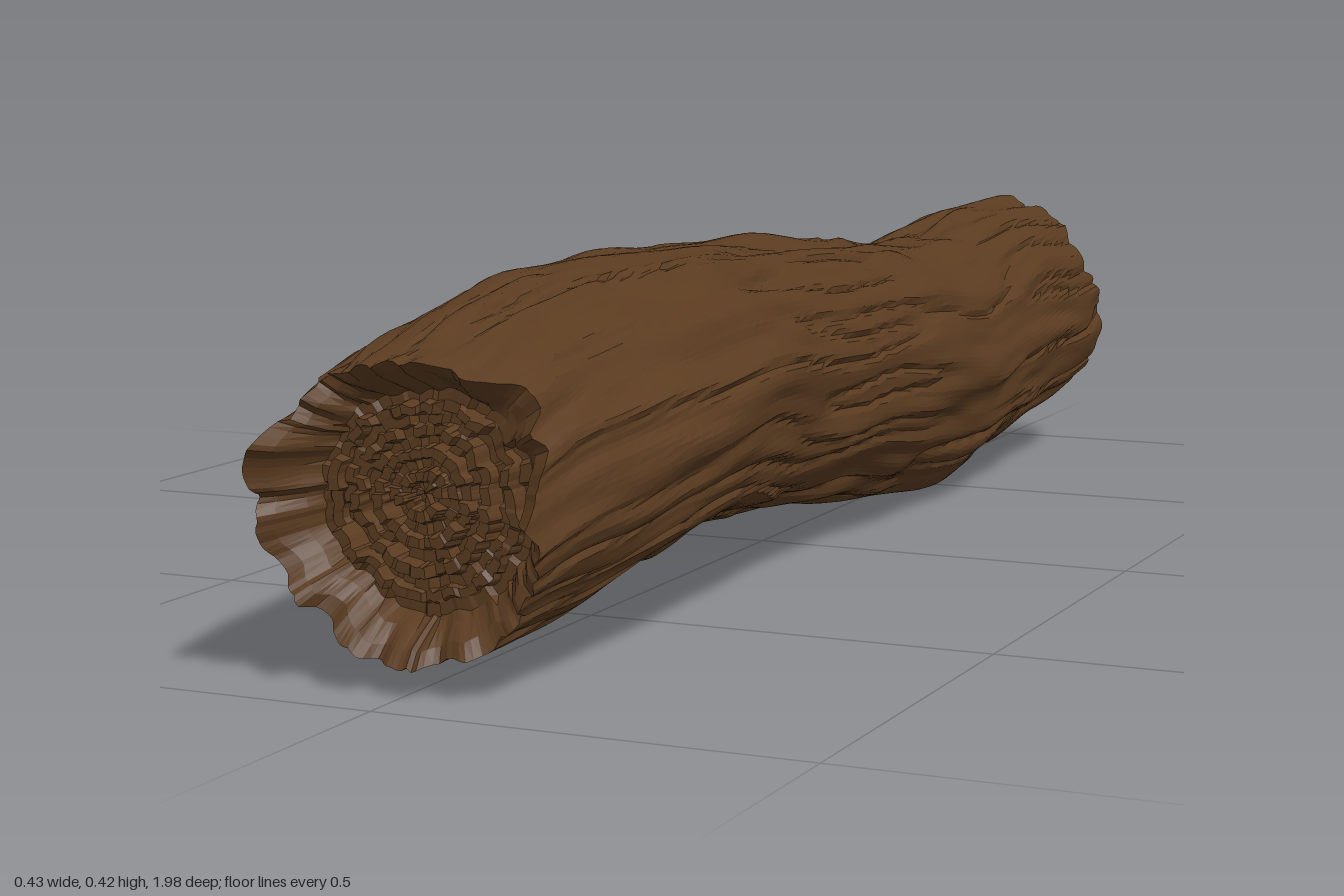
import * as THREE from 'three';

const SIDES = 176, ROWS = 72, TAU = Math.PI * 2;
const clamp = THREE.MathUtils.clamp, lerp = THREE.MathUtils.lerp;

// seeded value noise, periodic in u
function hash(a, b, seed) {
  let h = Math.imul(a + 101, 374761393) ^ Math.imul(b + 57, 668265263) ^ Math.imul(seed + 11, 2246822519);
  h = Math.imul(h ^ (h >>> 13), 1274126177);
  return ((h ^ (h >>> 16)) >>> 0) / 4294967296;
}
function noise(u, v, period, seed) {
  const i = Math.floor(u), j = Math.floor(v);
  const s = (t) => t * t * (3 - 2 * t);
  const fu = s(u - i), fv = s(v - j);
  const w = (n) => ((n % period) + period) % period;
  return lerp(
    lerp(hash(w(i), j, seed), hash(w(i + 1), j, seed), fu),
    lerp(hash(w(i), j + 1, seed), hash(w(i + 1), j + 1, seed), fu), fv);
}

// outline along the log: z, left edge, right edge, bottom, top
const outline = [
  [-1.0, -0.165, 0.17, 0.06, 0.4], [-0.8, -0.18, 0.178, 0.04, 0.4],
  [-0.6, -0.187, 0.182, 0.015, 0.382], [-0.45, -0.182, 0.186, 0.0, 0.373],
  [-0.2, -0.177, 0.196, 0.028, 0.4], [0.0, -0.2, 0.187, 0.053, 0.42],
  [0.2, -0.217, 0.188, 0.062, 0.43], [0.4, -0.215, 0.21, 0.077, 0.44],
  [0.6, -0.217, 0.213, 0.068, 0.43], [0.8, -0.196, 0.196, 0.042, 0.412],
  [1.0, -0.17, 0.175, 0.033, 0.375],
];
function sectionAt(z) {
  let k = 0;
  while (k < outline.length - 2 && z > outline[k + 1][0]) k++;
  const a = outline[k], b = outline[k + 1];
  let t = clamp((z - a[0]) / (b[0] - a[0]), 0, 1);
  t = lerp(t, t * t * (3 - 2 * t), 0.6);
  const [, l, r, lo, hi] = a.map((n, i) => lerp(n, b[i], t));
  return { x: (l + r) / 2, y: (lo + hi) / 2, rx: (r - l) / 2, ry: (hi - lo) / 2 };
}

// broken rims: reach in z around the log, starting at +x and turning to +y
const frontRim = [0.99, 0.91, 0.9, 0.97, 0.98, 0.96, 0.91, 0.97, 0.95, 0.94, 0.93, 0.93, 0.93, 0.93, 0.92, 0.93];
const backRim = [0.98, 0.93, 0.95, 0.99, 0.98, 0.95, 0.95, 0.97, 0.97, 0.95, 0.95, 0.94, 0.95, 0.94, 0.95, 0.96];
function rimAt(rim, j) {
  const u = (j / SIDES) * rim.length, i = Math.floor(u);
  const base = lerp(rim[i % 16], rim[(i + 1) % 16], u - i);
  return Math.min(1, base + (noise((j / SIDES) * 60, 0, 60, rim === frontRim ? 5 : 6) - 0.5) * 0.03);
}

// bark relief: long wandering ridges, flakes and narrow cracks
function relief(a, z) {
  const u = a / TAU + 0.012 * Math.sin(z * 5 + 1) + 0.006 * Math.sin(z * 13 + a * 2);
  const ridge = noise(u * 26, z * 3.2, 26, 1);
  const flake = noise(u * 52, z * 8, 52, 2);
  const lump = noise(u * 9, z * 2.5, 9, 3);
  const crack = Math.max(0, 1 - Math.abs(noise(u * 34, z * 2.6, 34, 4) - 0.5) * 7);
  return 1.045 - 0.085 * (1 - ridge) - 0.05 * (1 - flake) - 0.05 * (1 - lump) - 0.04 * crack;
}

function barkPoint(j, t) {
  const a = (j / SIDES) * TAU;
  const z = lerp(-rimAt(backRim, j), rimAt(frontRim, j), t);
  const s = sectionAt(z), r = relief(a, z);
  return new THREE.Vector3(s.x + s.rx * r * Math.cos(a), s.y + s.ry * r * Math.sin(a), z);
}

// faceted skin over rows of closed loops
function skin(rows, name, material) {
  const position = [], index = [];
  rows.forEach((row) => row.forEach((p) => position.push(p.x, p.y, p.z)));
  for (let i = 0; i < rows.length - 1; i++) {
    for (let j = 0; j < SIDES; j++) {
      const k = (j + 1) % SIDES;
      const a = i * SIDES + j, b = i * SIDES + k, c = a + SIDES, d = b + SIDES;
      index.push(a, b, c, b, d, c);
    }
  }
  const indexed = new THREE.BufferGeometry();
  indexed.setAttribute('position', new THREE.Float32BufferAttribute(position, 3));
  indexed.setIndex(index);
  const geometry = indexed.toNonIndexed();
  geometry.computeVertexNormals();
  const mesh = new THREE.Mesh(geometry, material);
  mesh.name = name;
  return mesh;
}

const loop = (fn) => Array.from({ length: SIDES }, (_, j) => fn(j));

// hollowed end with splintered growth rings, listed from the rim inwards
function endRows(side) {
  const floor = side > 0 ? 0.885 : 0.915;
  const s = sectionAt(side * floor);
  const rim = loop((j) => barkPoint(j, side > 0 ? 1 : 0));
  const rows = [rim];
  const ring = (scale, depth) => rows.push(loop((j) => {
    const wobble = scale * (1 + 0.05 * (noise((j / SIDES) * 24, scale * 9, 24, 7) - 0.5));
    return new THREE.Vector3(
      lerp(s.x, rim[j].x, wobble), lerp(s.y, rim[j].y, wobble), side * depth(j));
  }));
  ring(0.9, (j) => lerp(floor, Math.abs(rim[j].z), 0.75));
  ring(0.8, (j) => lerp(floor, Math.abs(rim[j].z), 0.25));
  const count = 9;
  for (let k = 0; k < count; k++) {
    const outer = 0.74 * (1 - k / count), inner = 0.74 * (1 - (k + 0.8) / count);
    const cells = 8 + 3 * (count - k);
    const depth = (j) => floor + (k % 2 ? 0.007 : -0.007)
      + (hash(Math.floor((j / SIDES) * cells), k, side > 0 ? 8 : 9) - 0.5) * 0.022;
    ring(outer, depth);
    ring(inner, depth);
  }
  ring(0, () => floor);
  return rows;
}

export function createModel() {
  const wood = new THREE.MeshStandardMaterial({ color: 0x5a3b20 });
  wood.name = 'brown wood';

  const log = new THREE.Group();
  log.name = 'log';
  const bark = Array.from({ length: ROWS + 1 }, (_, i) => loop((j) => barkPoint(j, i / ROWS)));
  log.add(skin(bark, 'bark', wood));
  log.add(skin(endRows(1), 'frontEnd', wood));
  log.add(skin(endRows(-1).reverse(), 'backEnd', wood));

  // rest the log on the ground
  log.position.y = -new THREE.Box3().setFromObject(log).min.y;
  const model = new THREE.Group();
  model.name = 'fallenLog';
  model.add(log);
  return model;
}
